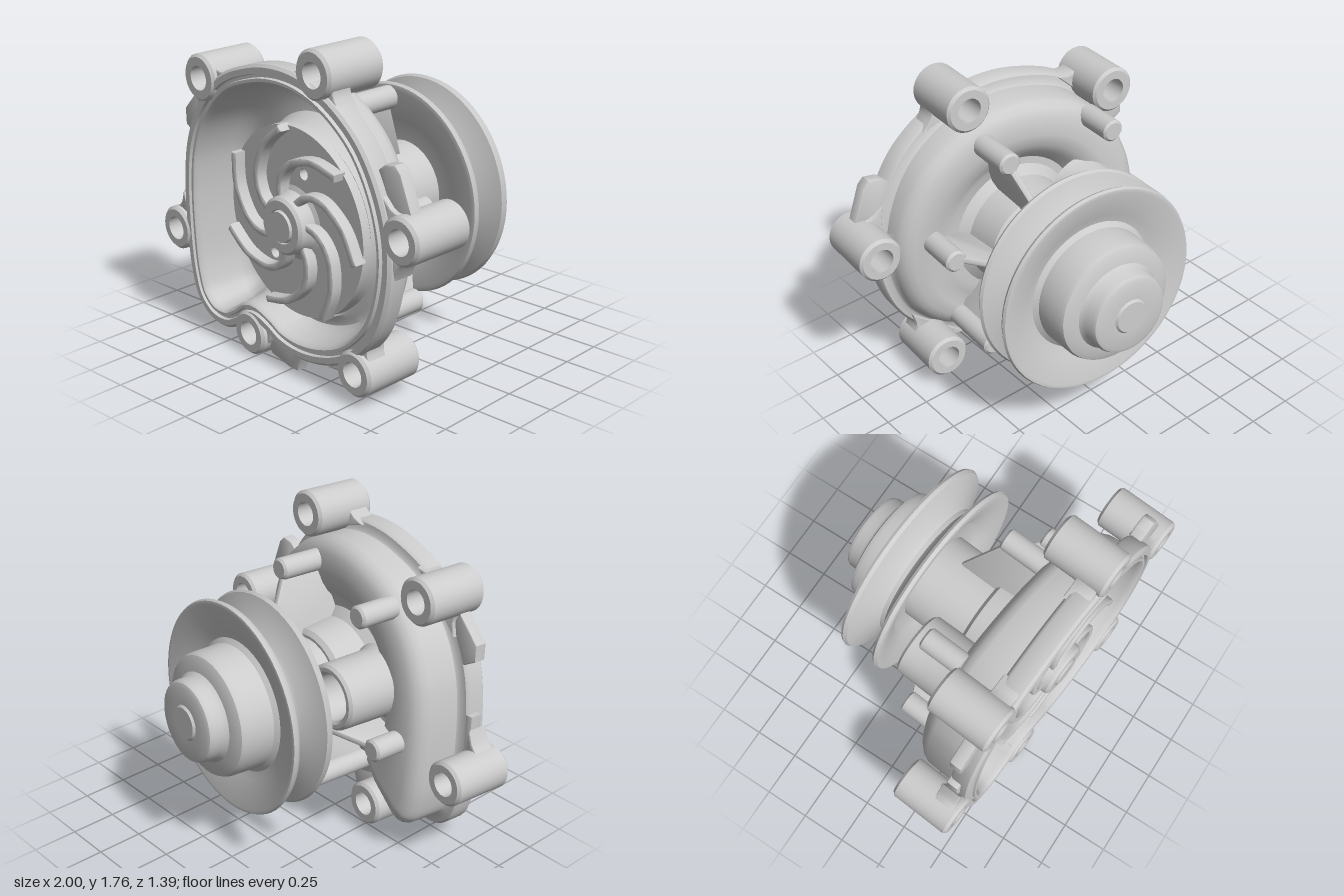
import * as THREE from 'three';
import { toCreasedNormals } from 'three/addons/utils/BufferGeometryUtils.js';

const material = new THREE.MeshStandardMaterial({ color: 0xcccccc });
// offset of the front plane from the shaft axis
const CX = 0.02, CY = 0.817;
const front = ([x, y]) => new THREE.Vector2(x - CX, y - CY);
const toVectors = points => points.map(p => new THREE.Vector2(...p));

function part(parent, name, geometry, crease = 0.6) {
  const mesh = new THREE.Mesh(toCreasedNormals(geometry, crease), material);
  mesh.name = name;
  parent.add(mesh);
  return mesh;
}

// lathe around the z axis from [radius, z] pairs, z rising on the outside
function turned(profile, segments = 48) {
  return new THREE.LatheGeometry(toVectors(profile), segments).rotateX(Math.PI / 2);
}

function tube(ro, ri, z0, z1, bevel = 0.015) {
  return turned([[ri, z0], [ro - bevel, z0], [ro, z0 + bevel], [ro, z1 - bevel],
    [ro - bevel, z1], [ri, z1], [ri, z0]], 32);
}

function rod(r, z0, z1, bevel = 0.012) {
  return turned([[0, z0], [r - bevel, z0], [r, z0 + bevel], [r, z1], [0, z1]], 32);
}

function plate(shape, z0, z1) {
  const g = new THREE.ExtrudeGeometry(shape, {
    depth: z1 - z0 - 0.02, bevelEnabled: true, bevelSize: 0.01, bevelThickness: 0.01, bevelSegments: 2 });
  return g.translate(0, 0, z0 + 0.01);
}

// Spiral shell: rings offset inward from the outline, blending to circles
function housingGeometry() {
  const outline = [[-0.78, 0.35], [-0.8, 0.6], [-0.79, 0.9], [-0.75, 1.1], [-0.65, 1.3], [-0.45, 1.5],
    [-0.2, 1.6], [0, 1.63], [0.2, 1.61], [0.4, 1.53], [0.6, 1.37], [0.73, 1.15], [0.79, 0.9], [0.77, 0.65],
    [0.68, 0.42], [0.5, 0.24], [0.3, 0.15], [0.1, 0.12], [-0.05, 0.14], [-0.16, 0.19], [-0.27, 0.215],
    [-0.37, 0.15], [-0.48, 0.1], [-0.62, 0.11], [-0.73, 0.2]];
  const curve = new THREE.CatmullRomCurve3(
    outline.map(p => { const v = front(p); return new THREE.Vector3(v.x, v.y, 0); }), true);
  const N = 180;
  const samples = [];
  for (let i = 0; i < N; i++) {
    const p = curve.getPointAt(i / N), t = curve.getTangentAt(i / N);
    // tangent runs clockwise, so its right-hand normal points inward
    const n = new THREE.Vector2(t.y, -t.x);
    const angle = Math.atan2(p.y + n.y * 0.1, p.x + n.x * 0.1);
    // the channel deepens from the tongue round to the outlet pocket
    const turn = ((angle + 1.95 + 4 * Math.PI) % (2 * Math.PI)) / (2 * Math.PI);
    const grow = turn < 0.92 ? turn / 0.92 : (1 - turn) / 0.08;
    samples.push({ p, n, angle, back: 0.39 - 0.18 * THREE.MathUtils.smoothstep(grow, 0, 1) });
  }
  // [inset, blend to circle, circle radius, height as a function of back]
  const rings = [
    [0, 1, 0.02, () => 0.46], [0, 1, 0.49, () => 0.46], [0, 1, 0.505, b => b * 0.5 + 0.255],
    [0.13, 0.85, 0.5, b => b + 0.07],
    [0.13, 0.6, 0.5, b => b + 0.06], [0.13, 0.3, 0.5, b => b + 0.06], [0.13, 0.12, 0.5, b => b + 0.08],
    [0.125, 0.03, 0.5, b => b + 0.11], [0.112, 0, 0, b => b + 0.15], [0.1, 0, 0, () => 0.575],
    [0.095, 0, 0, () => 0.6], [0.085, 0, 0, () => 0.61],
    [0.07, 0, 0, () => 0.61], [0.066, 0, 0, () => 0.592], [0.05, 0, 0, () => 0.592], [0.046, 0, 0, () => 0.61],
    [0.015, 0, 0, () => 0.61], [0, 0, 0, () => 0.595], [0, 0, 0, () => 0.505], [0.012, 0, 0, () => 0.49],
    [0.05, 0, 0, () => 0.485], [0.062, 0, 0, () => 0.475], [0.07, 0, 0, b => b + 0.08],
    [0.085, 0, 0, b => b + 0.045], [0.11, 0, 0, b => b + 0.018], [0.13, 0.1, 0.5, b => b],
    [0.13, 0.65, 0.5, b => b - 0.01], [0, 1, 0.5, b => b + 0.005], [0, 1, 0.45, b => b * 0.5 + 0.17],
    [0, 1, 0.4, () => 0.35], [0, 1, 0.2, () => 0.35]];
  const position = [], index = [];
  rings.forEach(([inset, k, r, z], j) => samples.forEach((s, i) => {
    const x = s.p.x + s.n.x * inset, y = s.p.y + s.n.y * inset;
    position.push(x + (Math.cos(s.angle) * r - x) * k, y + (Math.sin(s.angle) * r - y) * k, z(s.back));
    if (j < rings.length - 1) {
      const a = j * N + i, b = j * N + (i + 1) % N;
      index.push(a, b, a + N, b, b + N, a + N);
    }
  }));
  const g = new THREE.BufferGeometry();
  g.setAttribute('position', new THREE.Float32BufferAttribute(position, 3));
  g.setIndex(index);
  return g;
}

function addImpeller(parent) {
  const impeller = new THREE.Group();
  impeller.name = 'impeller';
  impeller.position.z = 0.05;
  parent.add(impeller);
  const disc = new THREE.Shape().absarc(0, 0, 0.5, 0, Math.PI * 2);
  for (const [x, y] of [[0.08, 0.27], [-0.17, -0.21]]) {
    disc.holes.push(new THREE.Path().absarc(x, y, 0.03, 0, Math.PI * 2, true));
  }
  part(impeller, 'impellerDisc', new THREE.ExtrudeGeometry(disc,
    { depth: 0.05, bevelEnabled: false, curveSegments: 48 }).translate(0, 0, 0.42));
  part(impeller, 'impellerHub', turned([[0.2, 0.468], [0.17, 0.48], [0.155, 0.51], [0.15, 0.55], [0.135, 0.565],
    [0.09, 0.565], [0.085, 0.555], [0.08, 0.575], [0, 0.575]]));
  // swept-back vanes
  const spine = new THREE.SplineCurve([[0, 0.49], [19, 0.415], [41, 0.325], [58, 0.235], [70, 0.14]].map(([deg, r]) => {
    const a = THREE.MathUtils.degToRad(deg);
    return new THREE.Vector2(r * Math.cos(a), r * Math.sin(a));
  }));
  const left = [], right = [];
  for (let i = 0; i <= 20; i++) {
    const p = spine.getPoint(i / 20), t = spine.getTangent(i / 20), w = 0.01;
    left.push(new THREE.Vector2(p.x - t.y * w, p.y + t.x * w));
    right.unshift(new THREE.Vector2(p.x + t.y * w, p.y - t.x * w));
  }
  const vane = plate(new THREE.Shape([...left, ...right]), 0.455, 0.53);
  for (let i = 0; i < 7; i++) {
    part(impeller, 'vane', vane).rotation.z = THREE.MathUtils.degToRad(94 + i * 360 / 7);
  }
}

// web that flares from a boss to the flange, cut round the bolt hole
function webShape(flare) {
  const side = [[0, 0.105], [0.04, 0.115], [0.07, 0.115 + flare * 0.3], [0.1, 0.115 + flare]];
  return new THREE.Shape([...toVectors(side.map(([x, y]) => [x, -y])), ...toVectors(side.reverse()),
    ...new THREE.Path().absarc(0, 0, 0.085, Math.PI / 2, -Math.PI / 2, true).getPoints(12)]);
}

export function createModel() {
  const model = new THREE.Group();
  model.name = 'waterPump';
  // the whole pump sits slightly tilted
  const body = new THREE.Group();
  body.name = 'pumpBody';
  body.position.set(0.07, 0.835, 0);
  body.rotation.set(0.03, -0.08, 0);
  model.add(body);

  part(body, 'housing', housingGeometry(), 0.75);
  addImpeller(body);

  // bolt bosses round the rim: x, y, radius, web flare
  for (const [x, y, r, flare] of [[0.3, 1.64, 0.125, 0.075], [-0.59, 1.465, 0.125, 0.075], [0.865, 0.97, 0.12, 0.075],
    [0.53, 0.19, 0.12, 0.075], [-0.28, 0.14, 0.12, 0], [-0.88, 0.57, 0.12, 0.075]]) {
    const p = front([x, y]);
    const boss = new THREE.Group();
    boss.name = 'boltBoss';
    boss.position.set(p.x, p.y, 0);
    boss.rotation.z = Math.atan2(-p.y, -p.x);
    body.add(boss);
    part(boss, 'bossTube', tube(r, 0.065, 0.27, 0.62));
    part(boss, 'bossWeb', plate(webShape(flare), 0.47, 0.588));
  }

  // flat lugs on the flange edge
  for (const lug of [
    [[-0.8, 1.17], [-0.8, 1.25], [-0.68, 1.37], [-0.64, 1.3], [-0.72, 1.12]],
    [[0.68, 1.25], [0.72, 1.28], [0.78, 1.29], [0.81, 1.26], [0.88, 1.07], [0.76, 1.0]],
    [[-0.2, 0.12], [-0.16, 0.05], [-0.02, 0.02], [0.03, 0.02], [0.06, 0.1], [0.1, 0.13], [0, 0.18], [-0.12, 0.19]],
    [[-0.81, 0.62], [-0.815, 0.85], [-0.78, 0.85], [-0.78, 0.62]]]) {
    part(body, 'flangeLug', plate(new THREE.Shape(lug.map(front).reverse()), 0.49, 0.56));
  }

  // bearing barrel and its thicker root
  part(body, 'bearingBarrel', rod(0.25, -0.27, 0.4));
  part(body, 'barrelRoot', turned([[0.2, 0.1], [0.265, 0.1], [0.29, 0.12], [0.31, 0.31], [0.36, 0.35], [0.36, 0.4]]));

  // rear studs, most braced to the barrel by thin tapered ribs
  for (const [x, y, tip, base, braced] of [[0.2, 0.59, 0.04, 0.33, true], [0.51, 0.1, 0.1, 0.4, true],
    [-0.44, 0.56, 0.04, 0.27, false], [-0.6, -0.12, 0.04, 0.24, true],
    [0.36, -0.46, 0.03, 0.42, true], [-0.14, -0.5, 0.03, 0.41, true]]) {
    part(body, 'rearStud', rod(0.06, tip, base)).position.set(x, y, 0);
    if (!braced) continue;
    const R = Math.hypot(x, y);
    const shape = new THREE.Shape(toVectors([[0.2, -0.14], [R - 0.02, tip + 0.03], [R - 0.02, base - 0.01],
      [0.42, Math.min(base, 0.36)], [0.2, 0.37]]));
    const radial = new THREE.Vector3(x / R, y / R, 0), axis = new THREE.Vector3(0, 0, 1);
    const basis = new THREE.Matrix4().makeBasis(radial, axis, radial.clone().cross(axis));
    part(body, 'rib', plate(shape, -0.018, 0.018).applyMatrix4(basis));
  }

  // rear inlet pipe beside the barrel
  part(body, 'inletPipe', turned([[0, 0.2], [0.12, 0.2], [0.125, -0.05], [0.14, -0.065], [0.16, -0.065],
    [0.175, -0.05], [0.18, 0.23], [0.2, 0.27]])).position.set(-0.38, 0.12, 0);

  // grooved drive pulley, dished on both faces, with stepped hub
  part(body, 'pulley', turned([[0, -0.69], [0.085, -0.69], [0.095, -0.678], [0.19, -0.678], [0.21, -0.67],
    [0.22, -0.65], [0.222, -0.6], [0.24, -0.575], [0.29, -0.568], [0.32, -0.555], [0.33, -0.53], [0.335, -0.37],
    [0.36, -0.35], [0.4, -0.36], [0.55, -0.422], [0.568, -0.42], [0.575, -0.405], [0.565, -0.385], [0.41, -0.325],
    [0.39, -0.305], [0.39, -0.28], [0.41, -0.26], [0.565, -0.215], [0.575, -0.2], [0.565, -0.182], [0.54, -0.178],
    [0.4, -0.215], [0.36, -0.235], [0.33, -0.25], [0.2, -0.25], [0, -0.25]], 72));
  return model;
}
